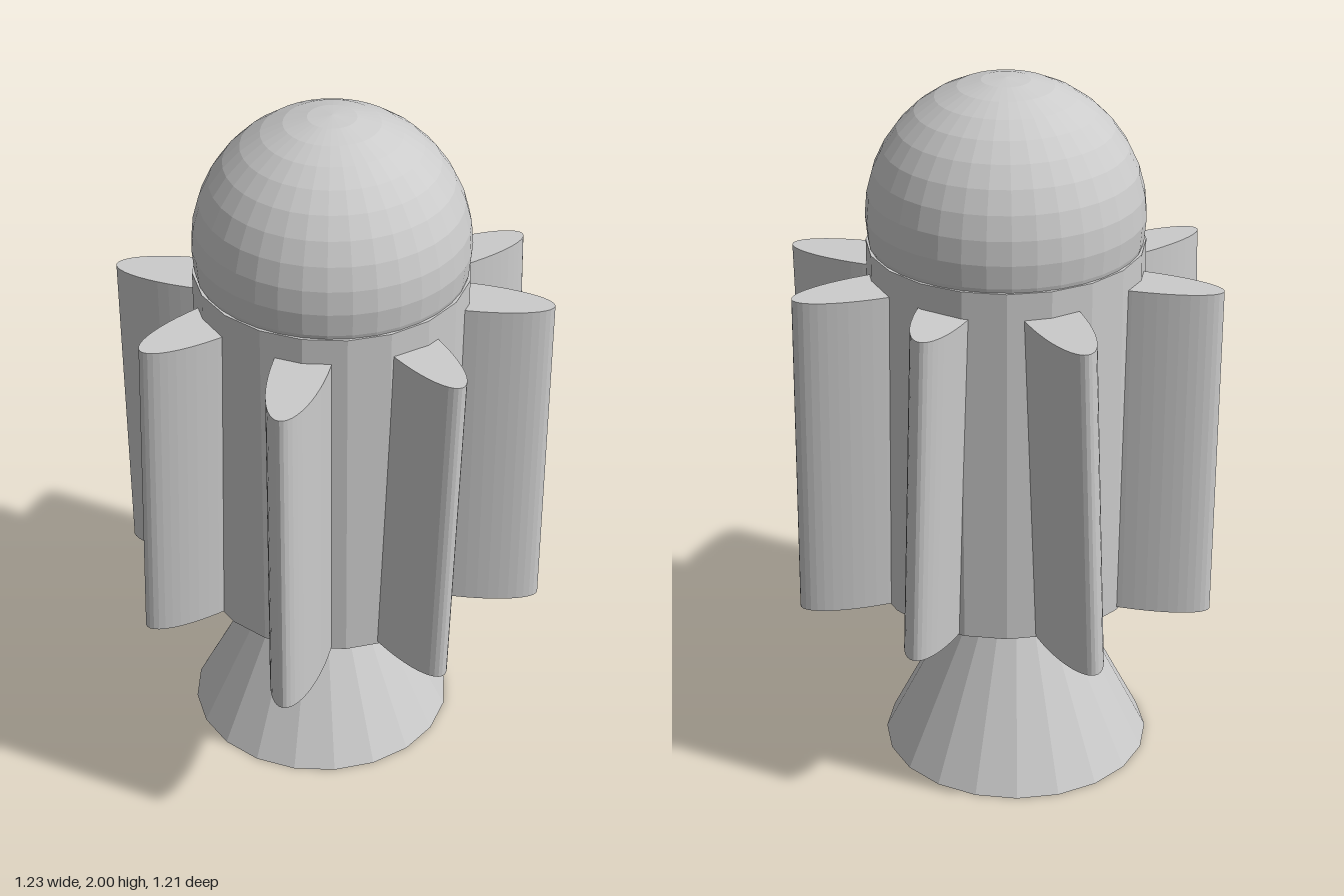
import * as THREE from 'three';

const material = new THREE.MeshStandardMaterial({ color: 0xcccccc, flatShading: true });

function part(name, geometry, x, y, z, parent) {
  const mesh = new THREE.Mesh(geometry, material);
  mesh.name = name;
  mesh.position.set(x, y, z);
  parent.add(mesh);
  return mesh;
}

export function createModel() {
  const model = new THREE.Group();
  model.name = 'rocket';

  // Faceted body with a ball-shaped nose
  part('body', new THREE.CylinderGeometry(0.382, 0.382, 1.04, 20), 0, 1.02, -0.05, model);
  part('nose', new THREE.SphereGeometry(0.382, 36, 18), 0, 1.618, -0.05, model);

  // Engine bell, set slightly off the body's axis
  part('engineBell', new THREE.ConeGeometry(0.382, 0.76, 20), -0.04, 0.38, -0.085, model);

  // Elliptical fins, their outer tip and top at the local origin
  const height = 0.96, length = 0.27, halfWidth = 0.077;
  const finGeometry = new THREE.CylinderGeometry(1, 1, height, 48)
    .scale(length, 1, halfWidth)
    .translate(-length, -height / 2, 0);

  // Each fin: tip x, tip z, heading in degrees (from +x towards +z), lean
  const lean = -0.035;
  const fins = [
    [0, 0.603, 90, 0],
    [0.43, 0.358, 47, lean],
    [0.612, -0.086, 0, lean],
    [0.467, -0.455, -40, lean],
    [0.055, -0.606, -90, lean],
    [-0.378, -0.548, -128, -lean],
    [-0.614, -0.056, 180, lean],
    [-0.432, 0.362, 130, lean],
  ];
  fins.forEach(([x, z, heading, tilt], i) => {
    const fin = new THREE.Group();
    fin.name = `fin${i + 1}`;
    fin.position.set(x, 1.465, z);
    fin.rotation.y = -THREE.MathUtils.degToRad(heading);
    part('finBlade', finGeometry, 0, 0, 0, fin).rotation.x = tilt;
    model.add(fin);
  });

  return model;
}
